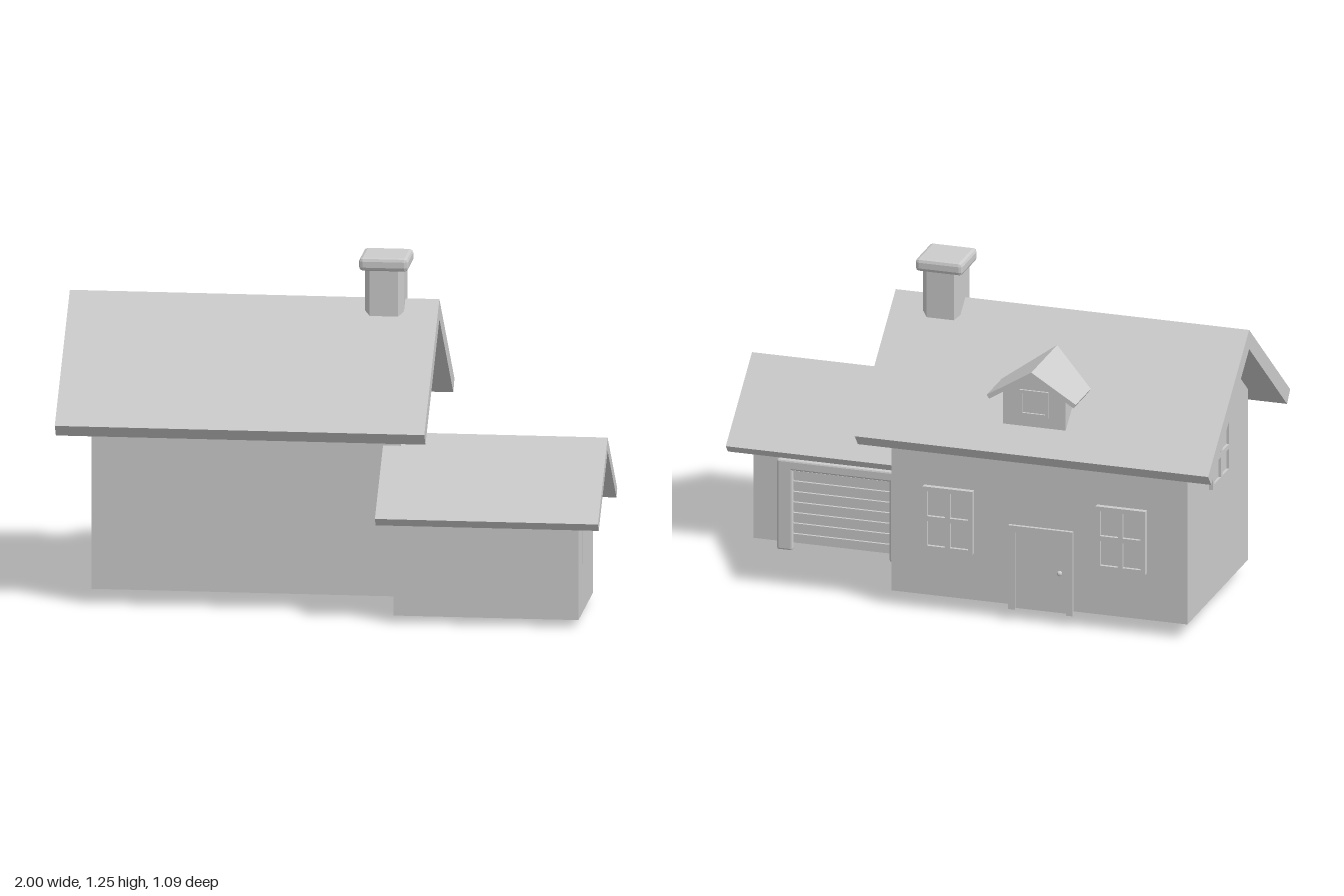
import * as THREE from 'three';
import { RoundedBoxGeometry } from 'three/addons/geometries/RoundedBoxGeometry.js';

const mat = new THREE.MeshStandardMaterial({ color: 0xcccccc, flatShading: true });

const poly = (pts) => new THREE.Shape(pts.map(([x, y]) => new THREE.Vector2(x, y)));

function add(parent, name, geometry, x = 0, y = 0, z = 0) {
  const mesh = new THREE.Mesh(geometry, mat);
  mesh.name = name;
  mesh.position.set(x, y, z);
  parent.add(mesh);
  return mesh;
}

function box(parent, name, x0, x1, y0, y1, z0, z1) {
  return add(parent, name, new THREE.BoxGeometry(x1 - x0, y1 - y0, z1 - z0),
    (x0 + x1) / 2, (y0 + y1) / 2, (z0 + z1) / 2);
}

const extrude = (shape, depth) => new THREE.ExtrudeGeometry(shape, { depth, bevelEnabled: false });

// Outline of a gable end, centred on the ridge
const gableShape = (left, right, base, apex, slope) => poly([
  [left, base], [right, base], [right, apex - right * slope], [0, apex], [left, apex + left * slope],
]);

// Outline of two roof slabs meeting at the ridge, with square-cut eaves
function roofShape(half, apex, slope, thick) {
  const a = Math.atan(slope), drop = apex - half * slope;
  const xi = half - thick * Math.sin(a), yi = drop - thick * Math.cos(a);
  return poly([[0, apex], [-half, drop], [-xi, yi], [0, apex - thick / Math.cos(a)], [xi, yi], [half, drop]]);
}

// Extrude a profile along x; profile x becomes -z
function alongX(parent, name, shape, x0, x1, zc) {
  return add(parent, name, extrude(shape, x1 - x0).rotateY(Math.PI / 2), x0, 0, zc);
}

// Four-pane window facing +z, base at y = 0; rise > 0 gives a peaked top
function windowUnit(name, w, h, rise, split, depth) {
  const g = new THREE.Group();
  g.name = name;
  const hw = w / 2, b = 0.017, m = 0.009, side = h - rise;
  const topAt = (x) => h - (rise * Math.abs(x)) / hw;
  const outline = [[-hw, 0], [hw, 0], [hw, side], [0, h], [-hw, side]];
  const frame = poly(outline);
  for (const s of [-1, 1]) {
    const i = s * m, o = s * (hw - b);
    frame.holes.push(poly([[i, b], [o, b], [o, split - m], [i, split - m]]));
    frame.holes.push(poly([[i, split + m], [o, split + m], [o, topAt(o) - b], [i, topAt(i) - b]]));
  }
  add(g, 'windowFrame', extrude(frame, depth));
  add(g, 'windowPanes', extrude(poly(outline.map(([x, y]) => [x * 0.96, 0.005 + y * 0.96])), depth * 0.4));
  return g;
}

function place(parent, obj, x, y, z, ry) {
  obj.position.set(x, y, z);
  obj.rotation.y = ry;
  parent.add(obj);
}

export function createModel() {
  const root = new THREE.Group();
  root.name = 'house';
  const SLOPE = 0.839;

  // Main house
  const ridgeZ = -0.067;
  alongX(root, 'mainWalls', gableShape(-0.354, 0.353, 0.055, 1.012, SLOPE), -0.88, 0.25, ridgeZ);
  alongX(root, 'mainRoof', roofShape(0.477, 1.085, SLOPE, 0.057), -1, 0.35, ridgeZ);

  // Peaked windows in both gable ends
  for (const s of [-1, 1]) {
    place(root, windowUnit('gableWindow', 0.205, 0.247, 0.033, 0.103, 0.016),
      s > 0 ? 0.249 : -0.879, 0.488, ridgeZ, s * Math.PI / 2);
  }

  // Entrance side windows
  for (const x of [0.03, -0.63]) {
    place(root, windowUnit('wallWindow', 0.19, 0.245, 0, 0.1225, 0.021), x, 0.235, -0.419, Math.PI);
  }

  // Entrance door
  const door = new THREE.Group();
  door.name = 'entranceDoor';
  const dx0 = -0.445, dx1 = -0.2;
  box(door, 'doorPanel', dx0 + 0.02, dx1 - 0.02, 0.045, 0.35, -0.426, -0.41);
  for (const [a, b] of [[dx0, dx0 + 0.025], [dx1 - 0.025, dx1]]) {
    box(door, 'doorJamb', a, b, 0.04, 0.365, -0.433, -0.415);
  }
  box(door, 'doorLintel', dx0, dx1, 0.34, 0.365, -0.433, -0.415);
  add(door, 'doorKnob', new THREE.SphereGeometry(0.01, 10, 8), -0.395, 0.2, -0.432);
  root.add(door);

  // Dormer
  const dormer = new THREE.Group();
  dormer.name = 'dormer';
  const dX = -0.305, dSlope = 0.62;
  add(dormer, 'dormerWalls', extrude(gableShape(-0.12, 0.12, 0.74, 0.965, dSlope), 0.25), dX, 0, -0.45);
  add(dormer, 'dormerRoof', extrude(roofShape(0.17, 0.987, dSlope, 0.017), 0.315), dX, 0, -0.485);
  const dormerFrame = poly([[-0.055, 0], [0.055, 0], [0.055, 0.1], [-0.055, 0.1]]);
  dormerFrame.holes.push(poly([[-0.043, 0.012], [0.043, 0.012], [0.043, 0.088], [-0.043, 0.088]]));
  add(dormer, 'dormerWindowFrame', extrude(dormerFrame, 0.01), dX, 0.805, -0.458);
  root.add(dormer);

  // Chimney with chamfered corners and bevelled cap
  const chimney = new THREE.Group();
  chimney.name = 'chimney';
  const r = 0.071, c = 0.052;
  const shaft = poly([[-r, -c], [-c, -r], [c, -r], [r, -c], [r, c], [c, r], [-c, r], [-r, c]]);
  add(chimney, 'chimneyShaft', extrude(shaft, 0.28).rotateX(-Math.PI / 2), 0.155, 0.93, -0.073);
  add(chimney, 'chimneyCap', new RoundedBoxGeometry(0.18, 0.05, 0.184, 1, 0.014), 0.155, 1.225, -0.073);
  root.add(chimney);

  // Garage
  const garage = new THREE.Group();
  garage.name = 'garage';
  alongX(garage, 'garageWalls', gableShape(-0.23, 0.225, 0.025, 0.607, SLOPE), 0.245, 0.92, 0.24);
  alongX(garage, 'garageRoof', roofShape(0.305, 0.655, SLOPE, 0.038), 0.185, 1, 0.24);
  box(garage, 'garageSidePanel', 0.915, 0.922, 0.205, 0.435, 0.17, 0.34);

  // Garage door: posts, lintel and slats
  for (const x of [0.365, 0.795]) {
    add(garage, 'garagePost', new RoundedBoxGeometry(0.06, 0.35, 0.028, 1, 0.007), x, 0.175, 0.006);
  }
  add(garage, 'garageLintel', new RoundedBoxGeometry(0.49, 0.04, 0.028, 1, 0.007), 0.58, 0.33, 0.006);
  const slats = 7, slatH = (0.315 - 0.03) / slats;
  for (let i = 0; i < slats; i++) {
    const y = 0.03 + i * slatH;
    box(garage, 'garageDoorSlat', 0.39, 0.77, y, y + slatH - 0.008, 0.005, 0.02);
  }
  root.add(garage);

  return root;
}
